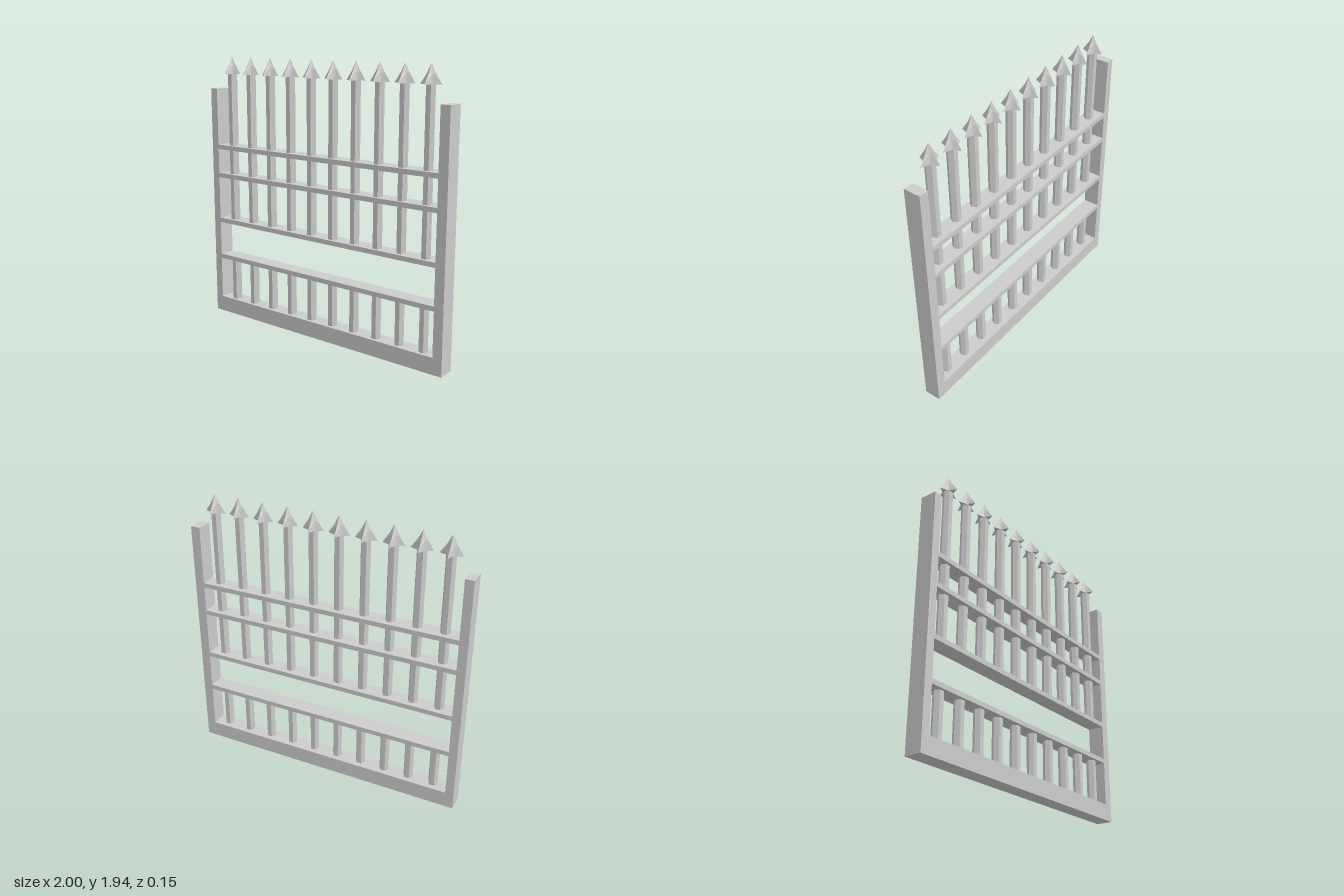
import * as THREE from 'three';

const material = new THREE.MeshStandardMaterial({ color: 0xcccccc, flatShading: true });

// Frame depth range, slightly offset from the pickets
const BACK = -0.065, FRONT = 0.052;

function box(name, x0, x1, y0, y1) {
  const mesh = new THREE.Mesh(new THREE.BoxGeometry(x1 - x0, y1 - y0, FRONT - BACK), material);
  mesh.position.set((x0 + x1) / 2, (y0 + y1) / 2, (FRONT + BACK) / 2);
  mesh.name = name;
  return mesh;
}

// Hexagonal bar with flat faces to front and back
function bar(name, y0, y1) {
  const geometry = new THREE.CylinderGeometry(0.034, 0.034, y1 - y0, 6);
  geometry.rotateY(Math.PI / 6);
  // turn so that the corners point along x
  geometry.computeBoundingBox();
  if (geometry.boundingBox.max.x < geometry.boundingBox.max.z) geometry.rotateY(Math.PI / 6);
  const mesh = new THREE.Mesh(geometry, material);
  mesh.position.y = (y0 + y1) / 2;
  mesh.name = name;
  return mesh;
}

// Four-pointed star spearhead, concave towards the tip
function spearheadGeometry(height) {
  const geometry = new THREE.CylinderGeometry(0, 1, height, 8, 2);
  const p = geometry.attributes.position;
  for (let i = 0; i < p.count; i++) {
    const x = p.getX(i), z = p.getZ(i);
    if (Math.hypot(x, z) < 1e-6) continue;
    const angle = Math.atan2(z, x);
    const notch = Math.abs(Math.round(angle / (Math.PI / 4))) % 2 === 1;
    const base = p.getY(i) < -height / 4;
    const r = base ? (notch ? 0.032 : 0.076) : (notch ? 0.021 : 0.033);
    p.setX(i, r * Math.cos(angle));
    p.setZ(i, r * Math.sin(angle));
  }
  geometry.computeVertexNormals();
  return geometry;
}

export function createModel() {
  const gate = new THREE.Group();
  gate.name = 'spikedGate';

  // Outer frame
  gate.add(box('leftPost', 0.932, 1, 0, 1.705));
  gate.add(box('rightPost', -1, -0.94, 0, 1.705));
  gate.add(box('bottomRail', -0.94, 0.932, 0, 0.115));

  // Thin cross rails
  for (const y of [0.422, 0.705, 1.05, 1.262]) {
    gate.add(box('crossRail', -0.94, 0.932, y, y + 0.033));
  }

  // Pickets, interrupted by the open band between the lower rails
  const tipHeight = 0.125;
  const tip = spearheadGeometry(tipHeight);
  for (let i = 0; i < 10; i++) {
    const picket = new THREE.Group();
    picket.name = 'picket';
    picket.add(bar('lowerBar', 0.115, 0.425), bar('upperBar', 0.73, 1.815));
    const spearhead = new THREE.Mesh(tip, material);
    spearhead.name = 'spearhead';
    spearhead.position.y = 1.815 + tipHeight / 2;
    picket.add(spearhead);
    picket.position.x = -0.828 + i * 0.1845;
    gate.add(picket);
  }
  return gate;
}
